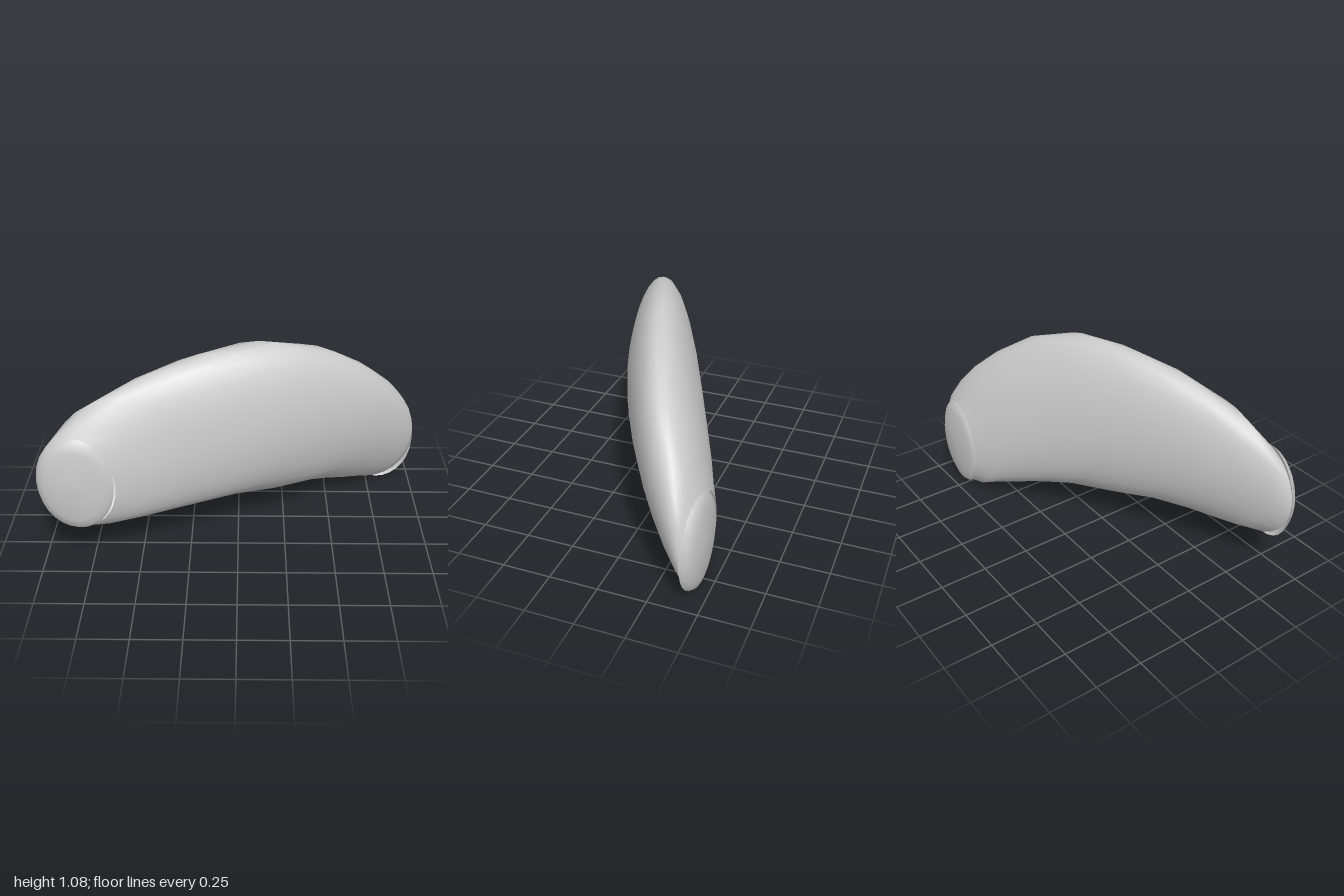
import * as THREE from 'three';

const SIDES = 28;

// Skin a row of upright ellipses, listed from front to back.
// Each ring: [z, xMin, xMax, yMin, yMax, lean], lean tilts the ring in z across x.
function loft(name, rings) {
  const pos = [], idx = [];
  for (const [z, x0, x1, y0, y1, lean = 0] of rings) {
    for (let j = 0; j < SIDES; j++) {
      const t = (j / SIDES) * Math.PI * 2;
      pos.push((x0 + x1) / 2 + (x1 - x0) / 2 * Math.cos(t),
        (y0 + y1) / 2 + (y1 - y0) / 2 * Math.sin(t), z + lean * Math.cos(t));
    }
  }
  for (let i = 0; i < rings.length - 1; i++) {
    for (let j = 0; j < SIDES; j++) {
      const k = (j + 1) % SIDES;
      const a = i * SIDES + j, b = i * SIDES + k;
      const c = a + SIDES, d = b + SIDES;
      idx.push(a, c, b, b, c, d);
    }
  }
  const geo = new THREE.BufferGeometry();
  geo.setAttribute('position', new THREE.Float32BufferAttribute(pos, 3));
  geo.setIndex(idx);
  geo.computeVertexNormals();
  const mesh = new THREE.Mesh(geo, new THREE.MeshStandardMaterial({ color: 0xcccccc, side: THREE.DoubleSide }));
  mesh.name = name;
  return mesh;
}

// Shallow dome over an end ring; dir is +1 for the front end, -1 for the back.
function dome(name, cx, cy, rx, ry, dir) {
  const rings = [[1, 0.425, 0.02], [0.93, 0.447, 0.01], [0.75, 0.462, 0.003], [0.4, 0.473, 0], [0, 0.477, 0]]
    .map(([s, z, lean]) => [z * dir, cx - rx * s, cx + rx * s, cy - ry * s, cy + ry * s, lean]);
  return loft(name, dir > 0 ? rings.reverse() : rings);
}

export function createModel() {
  const model = new THREE.Group();
  model.name = 'curvedPod';

  // Arched body running from the front end to the back end
  model.add(loft('body', [
    [0.44, -0.97, -0.6, 0.25, 0.72, 0.012],
    [0.40, -1.0, -0.43, 0.23, 0.79],
    [0.33, -0.92, -0.21, 0.225, 0.92],
    [0.225, -0.73, 0.08, 0.23, 1.015],
    [0.12, -0.54, 0.32, 0.225, 1.065],
    [0.01, -0.33, 0.53, 0.19, 1.08],
    [-0.11, -0.1, 0.725, 0.17, 1.01],
    [-0.21, 0.1, 0.85, 0.125, 0.9],
    [-0.3, 0.28, 0.94, 0.075, 0.78],
    [-0.36, 0.4, 0.985, 0.045, 0.68],
    [-0.4, 0.49, 1.0, 0.02, 0.6],
    [-0.44, 0.6, 0.975, 0.04, 0.51, 0.012],
  ]));

  // Lens-shaped end caps
  model.add(dome('frontEndCap', -0.805, 0.49, 0.195, 0.26, 1));
  model.add(dome('backEndCap', 0.805, 0.265, 0.195, 0.26, -1));
  return model;
}
